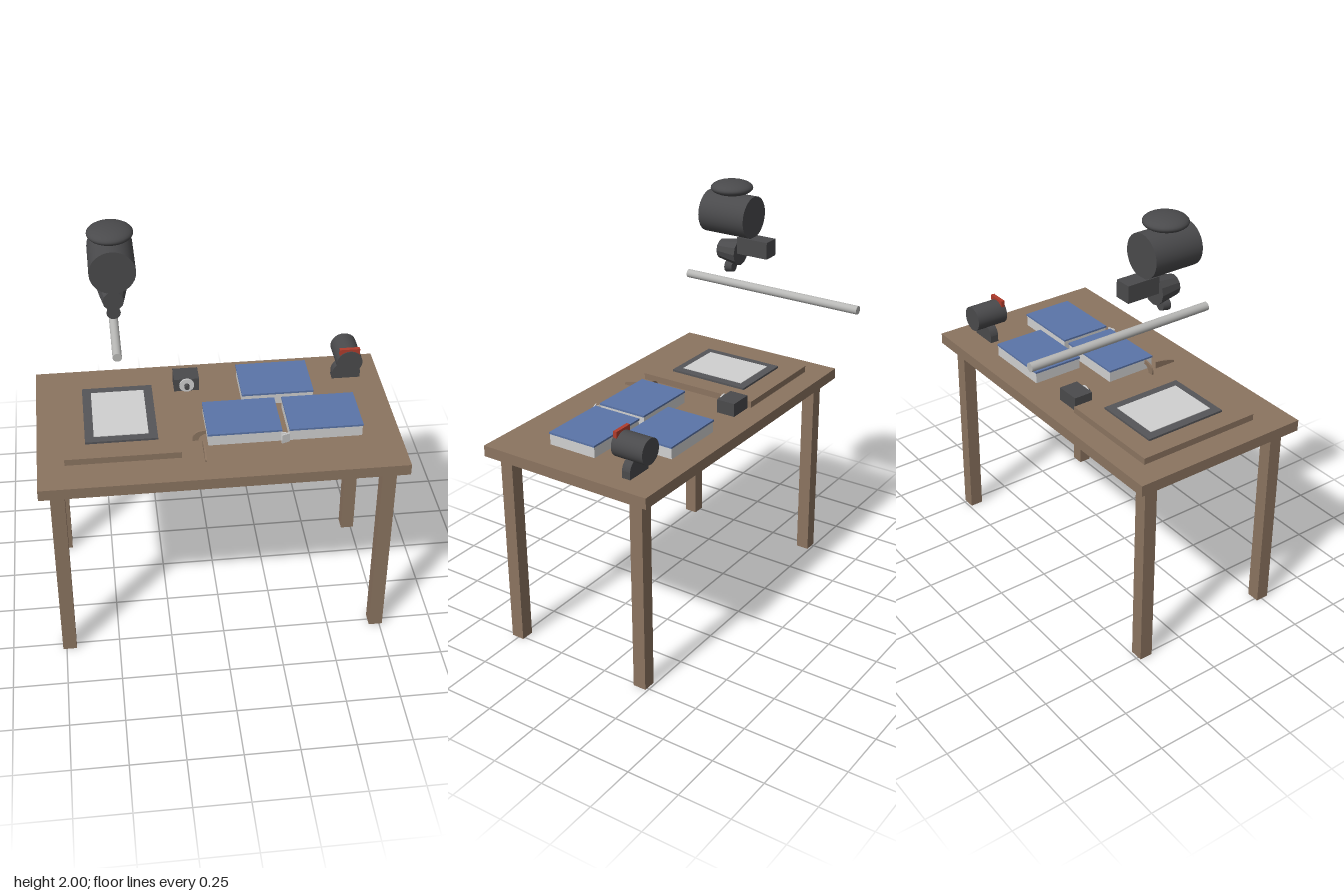
import * as THREE from 'three';

const mat = (name, color) => {
  const m = new THREE.MeshStandardMaterial({ color });
  m.name = name;
  return m;
};

export function createModel() {
  const root = new THREE.Group();
  root.name = 'darkroomTable';
  const wood = mat('wood', 0x8b7460);
  const dark = mat('darkMetal', 0x4a4a4c);
  const easelGrey = mat('easelGrey', 0x555558);
  const paper = mat('paper', 0xd0d0d0);
  const steel = mat('steel', 0xb8b8b6);
  const blue = mat('blue', 0x5a74a8);
  const red = mat('red', 0xb03c2c);

  const group = (name) => {
    const g = new THREE.Group();
    g.name = name;
    root.add(g);
    return g;
  };
  const add = (parent, name, geo, m, x = 0, y = 0, z = 0) => {
    const mesh = new THREE.Mesh(geo, m);
    mesh.name = name;
    mesh.position.set(x, y, z);
    parent.add(mesh);
    return mesh;
  };
  // Box given by its limits on each axis
  const box = (parent, name, m, x0, x1, y0, y1, z0, z1) =>
    add(parent, name, new THREE.BoxGeometry(x1 - x0, y1 - y0, z1 - z0), m,
      (x0 + x1) / 2, (y0 + y1) / 2, (z0 + z1) / 2);
  // Cylinder or frustum along z, from z0 (radius r0) to z1 (radius r1)
  const rod = (parent, name, m, x, y, z0, z1, r0, r1 = r0, sides = 32) =>
    add(parent, name, new THREE.CylinderGeometry(r1, r0, z1 - z0, sides).rotateX(Math.PI / 2),
      m, x, y, (z0 + z1) / 2);
  // Thin plate cut from an outline in the xy plane
  const plate = (parent, name, m, shape, depth, x, y, z) =>
    add(parent, name, new THREE.ExtrudeGeometry(shape, { depth, bevelEnabled: false, curveSegments: 10 }), m, x, y, z);

  // Table
  const table = group('table');
  box(table, 'tableTop', wood, -0.815, 0.812, 0.957, 1.01, -0.295, 0.585);
  for (const x of [-0.735, 0.732])
    for (const z of [-0.207, 0.503])
      box(table, 'leg', wood, x - 0.032, x + 0.032, 0, 0.957, z - 0.032, z + 0.032);

  // Baseboard with easel and paper
  const base = group('enlargerBase');
  box(base, 'baseboard', wood, -0.695, -0.18, 1.01, 1.041, -0.19, 0.422);
  box(base, 'easel', easelGrey, -0.6, -0.276, 1.041, 1.051, -0.09, 0.32);
  box(base, 'paper', paper, -0.56, -0.316, 1.051, 1.054, -0.05, 0.284);

  // Enlarger column and head
  const head = group('enlarger');
  const hx = -0.44;
  rod(head, 'column', steel, hx, 1.5, -0.59, 0.335, 0.02, 0.02, 20);
  rod(head, 'lampHouse', dark, hx, 1.84, -0.03, 0.214, 0.099);
  add(head, 'lampCap', new THREE.SphereGeometry(1, 32, 16).scale(0.099, 0.034, 0.099), dark, hx, 1.966, 0.092);
  box(head, 'bracket', dark, hx - 0.04, hx + 0.04, 1.665, 1.745, -0.126, 0.035);
  const bellows = rod(head, 'bellows', dark, hx, 1.662, 0.038, 0.146, 0.065, 0.046, 12);
  bellows.geometry = bellows.geometry.toNonIndexed();
  bellows.geometry.computeVertexNormals();
  rod(head, 'lens', dark, hx, 1.583, 0.075, 0.111, 0.025, 0.031, 20);

  // Developing trays: light body, blue top
  const trays = group('trays');
  for (const [x, z] of [[0.298, -0.06], [0.108, 0.225], [0.475, 0.225]]) {
    box(trays, 'trayBody', paper, x - 0.164, x + 0.164, 1.01, 1.062, z - 0.123, z + 0.123);
    box(trays, 'trayTop', blue, x - 0.167, x + 0.167, 1.062, 1.071, z - 0.125, z + 0.125);
  }

  // Tongs lying about the trays
  const tongs = group('tongs');
  const arc = new THREE.Shape();
  arc.moveTo(0, 0);
  arc.quadraticCurveTo(-0.005, 0.052, 0.06, 0.052);
  arc.lineTo(0.06, 0.035);
  arc.quadraticCurveTo(0.03, 0.03, 0.025, 0);
  plate(tongs, 'curvedTong', wood, arc, 0.009, -0.122, 1.012, 0.3);
  const wedge = new THREE.Shape();
  wedge.moveTo(0, 0);
  wedge.lineTo(0.11, 0);
  wedge.lineTo(0.11, 0.01);
  wedge.quadraticCurveTo(0.05, 0.03, 0, 0.034);
  plate(tongs, 'flatTong', wood, wedge, 0.008, -0.074, 1.01, 0.355).rotation.y = -Math.PI / 2;
  for (const s of [-1, 1]) {
    const jaw = add(tongs, 'tongJaw', new THREE.BoxGeometry(0.038, 0.045, 0.005), paper, 0.288, 1.038, 0.363 + s * 0.006);
    jaw.rotation.y = s * 0.32;
  }

  // Timer
  const timer = group('timer');
  box(timer, 'timerCase', dark, -0.17, -0.052, 1.01, 1.075, -0.177, -0.083);
  rod(timer, 'timerDial', paper, -0.111, 1.044, -0.083, -0.076, 0.035, 0.035, 24);
  rod(timer, 'timerKnob', dark, -0.111, 1.044, -0.076, -0.056, 0.012, 0.012, 16);

  // Safelight on a rounded foot, with a red filter
  const lamp = group('safelight');
  rod(lamp, 'safelightBody', dark, 0.652, 1.134, -0.208, -0.046, 0.061);
  box(lamp, 'redFilter', red, 0.604, 0.699, 1.175, 1.206, -0.068, -0.05);
  const foot = new THREE.Shape();
  foot.moveTo(-0.067, 0);
  foot.lineTo(0.067, 0);
  foot.lineTo(0.067, 0.035);
  foot.quadraticCurveTo(0.06, 0.07, 0.03, 0.08);
  foot.lineTo(-0.03, 0.08);
  foot.quadraticCurveTo(-0.06, 0.07, -0.067, 0.035);
  plate(lamp, 'safelightFoot', dark, foot, 0.042, 0.652, 1.01, -0.148);

  return root;
}
